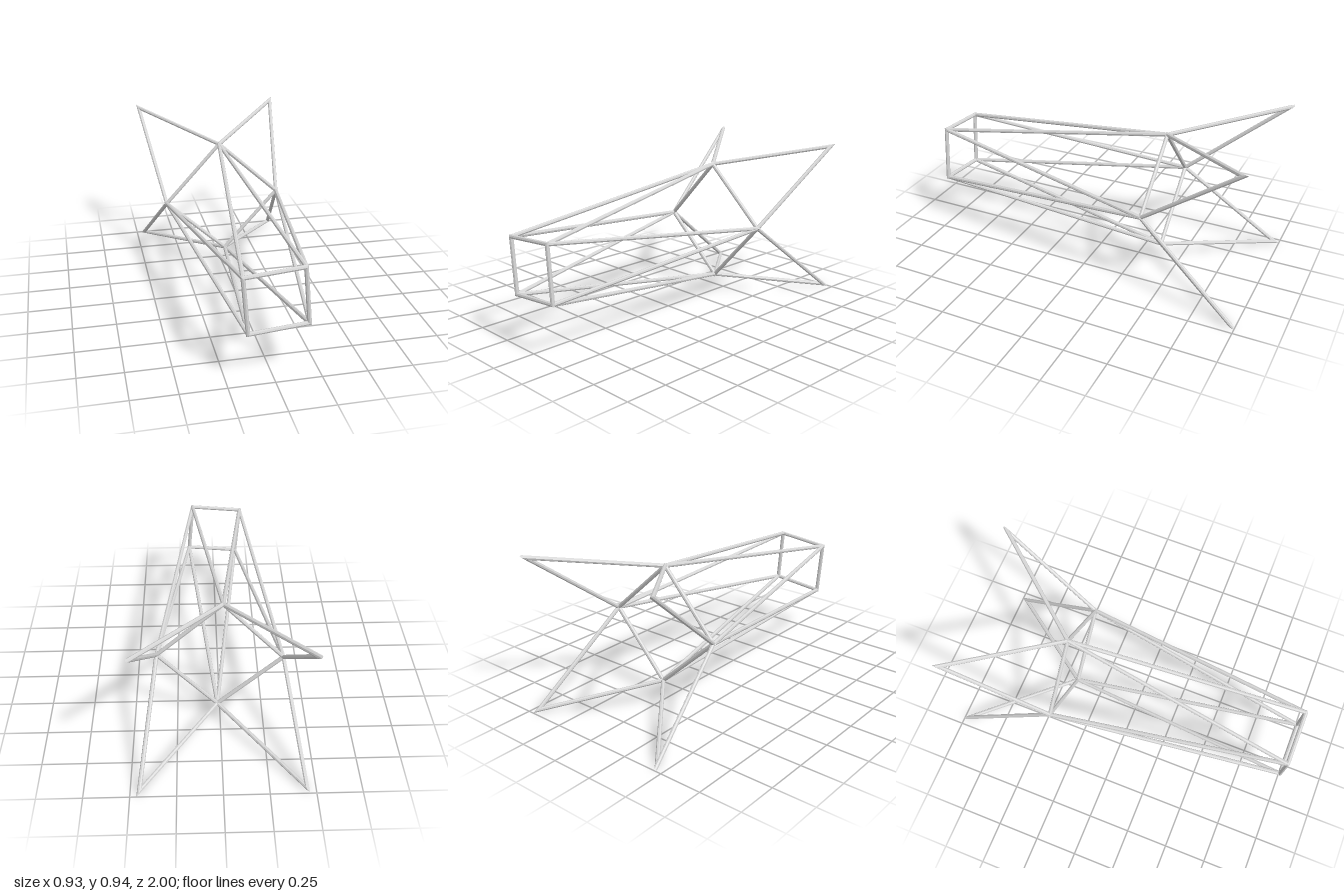
import * as THREE from 'three';

const R = 0.012, SIDES = 8, CY = 0.466;
const steel = new THREE.MeshStandardMaterial({ color: 0xd6d6d6, flatShading: true });
steel.name = 'light grey metal';

// Straight rod from a to b, its ends cut by planes with normals na and nb
function rodGeometry(a, b, na, nb) {
  const d = b.clone().sub(a), len = d.length();
  d.normalize();
  const g = new THREE.CylinderGeometry(R, R, len, SIDES);
  const turn = new THREE.Quaternion().setFromUnitVectors(new THREE.Vector3(0, 1, 0), d);
  const mid = a.clone().add(b).multiplyScalar(0.5);
  const pos = g.attributes.position, v = new THREE.Vector3();
  for (let i = 0; i < pos.count; i++) {
    v.fromBufferAttribute(pos, i);
    const atEnd = v.y > 0;
    v.applyQuaternion(turn).add(mid);
    const n = (atEnd ? nb : na) || d;
    v.addScaledVector(d, (atEnd ? b : a).clone().sub(v).dot(n) / d.dot(n));
    pos.setXYZ(i, v.x, v.y, v.z);
  }
  g.computeVertexNormals();
  return g;
}

// Chain of rods with mitred corners, optionally closed into a loop
function frame(name, pts, closed = false) {
  const group = new THREE.Group();
  group.name = name;
  const n = pts.length, count = closed ? n : n - 1;
  const dir = i => pts[(i + 1) % n].clone().sub(pts[i]).normalize();
  const mitre = i => (!closed && (i === 0 || i === n - 1)) ? null
    : dir((i + n - 1) % n).add(dir(i)).normalize();
  for (let i = 0; i < count; i++) {
    const j = (i + 1) % n;
    const mesh = new THREE.Mesh(rodGeometry(pts[i], pts[j], mitre(i), mitre(j)), steel);
    mesh.name = name + 'Rod';
    group.add(mesh);
  }
  return group;
}

// Four corners of a square turned by an angle in degrees
function square(radius, degrees, z) {
  return [0, 1, 2, 3].map(i => {
    const t = THREE.MathUtils.degToRad(degrees + i * 90);
    return new THREE.Vector3(radius * Math.cos(t), CY + radius * Math.sin(t), z);
  });
}

export function createModel() {
  const model = new THREE.Group();
  model.name = 'starFrame';

  const front = square(0.225, 50, 0.988);
  const ring = square(0.355, 2.6, -0.4);
  const tips = [[1, 1], [-1, 1], [-1, -1], [1, -1]]
    .map(([sx, sy]) => new THREE.Vector3(sx * 0.45, CY + sy * 0.453, -0.971));

  model.add(frame('frontSquare', front, true));
  model.add(frame('middleRing', ring, true));

  for (let i = 0; i < 4; i++) {
    const j = (i + 1) % 4;
    // Long body struts join each front corner to two ring corners
    model.add(frame('bodyStrut', [front[i], ring[i]]));
    model.add(frame('bodyStrut', [front[i], ring[j]]));
    // Pointed fin behind each side of the ring
    model.add(frame('rearFin', [ring[i], tips[i], ring[j]]));
  }
  return model;
}
